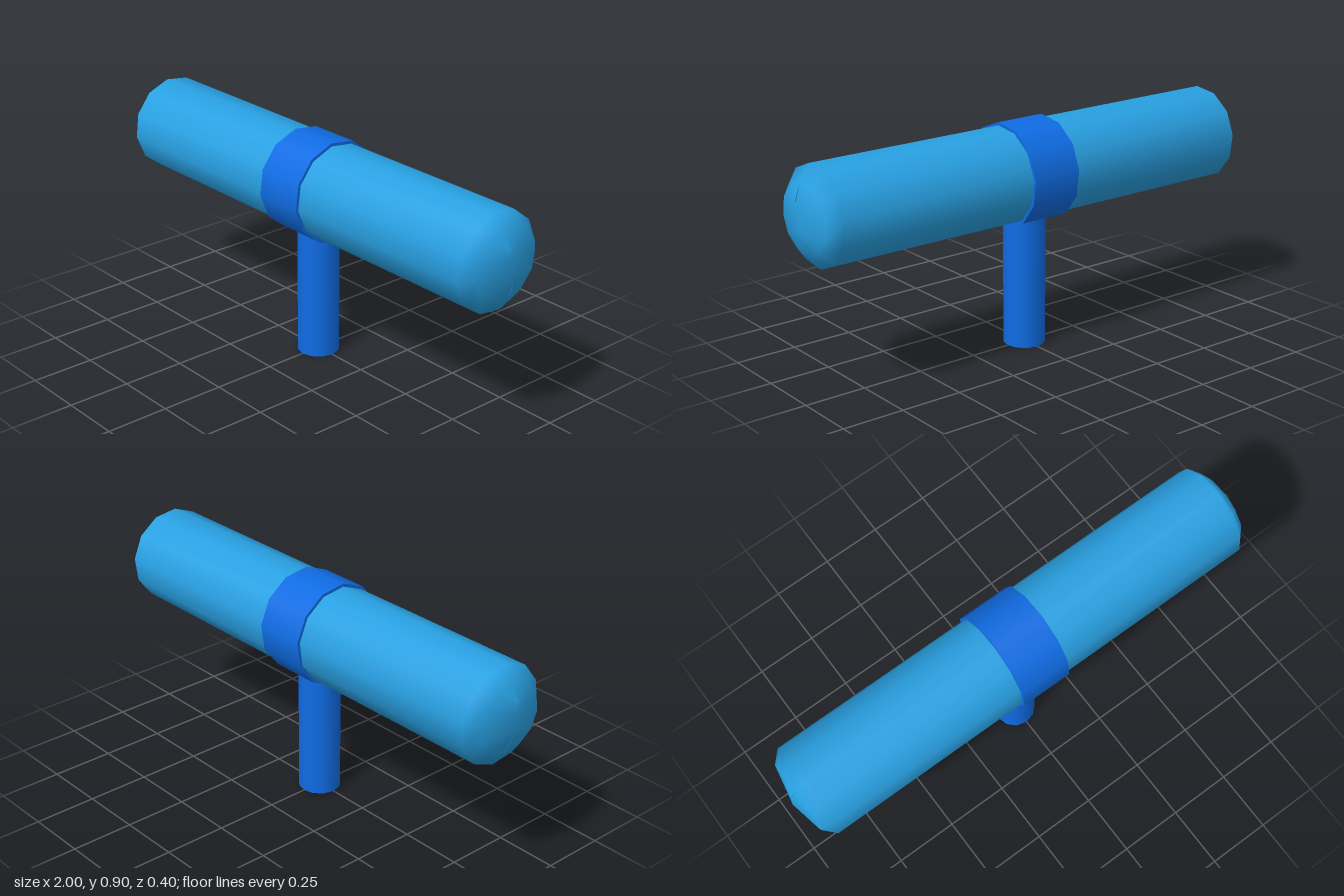
import * as THREE from 'three';
import { mergeVertices } from 'three/addons/utils/BufferGeometryUtils.js';

const SIDES = 12;

// Smooth skin over elliptical rings [x, half height, half depth] set along the x axis
function loft(rings) {
  const pos = [], index = [];
  rings.forEach(([x, ry, rz], i) => {
    for (let j = 0; j < SIDES; j++) {
      const k = (j / SIDES) * Math.PI * 2;
      pos.push(x, ry * Math.cos(k), rz * Math.sin(k));
      if (i === rings.length - 1) continue;
      const n = (j + 1) % SIDES;
      const a = i * SIDES + j, b = i * SIDES + n;
      const c = a + SIDES, d = b + SIDES;
      index.push(a, b, c, b, d, c);
    }
  });
  const geo = new THREE.BufferGeometry();
  geo.setAttribute('position', new THREE.Float32BufferAttribute(pos, 3));
  geo.setIndex(index);
  const merged = mergeVertices(geo);
  merged.computeVertexNormals();
  return merged;
}

export function createModel() {
  const lightBlue = new THREE.MeshStandardMaterial({ color: 0x28a0e2 });
  lightBlue.name = 'lightBlue';
  const deepBlue = new THREE.MeshStandardMaterial({ color: 0x0f6ce4 });
  deepBlue.name = 'deepBlue';

  const model = new THREE.Group();
  const add = (parent, name, geo, mat) => {
    const mesh = new THREE.Mesh(geo, mat);
    mesh.name = name;
    parent.add(mesh);
    return mesh;
  };

  // Barrel and collar share a slight roll about the long axis
  const head = new THREE.Group();
  head.name = 'head';
  head.position.y = 0.698;
  head.rotation.x = THREE.MathUtils.degToRad(7.5);
  model.add(head);

  // Barrel: domed ends that close in a short upright ridge
  const end = [[0.93, 0.191, 0.191], [0.973, 0.132, 0.145], [1, 0.07, 0]];
  const start = end.map(([x, ry, rz]) => [-x, ry, rz]).reverse();
  add(head, 'barrel', loft([...start, ...end]), lightBlue);

  // Collar round the middle
  const collar = new THREE.CylinderGeometry(0.203, 0.203, 0.208, SIDES);
  add(head, 'collar', collar.rotateZ(Math.PI / 2), deepBlue);

  // Handle, running up into the collar
  const handle = add(model, 'handle', new THREE.CylinderGeometry(0.083, 0.083, 0.54, SIDES), deepBlue);
  handle.position.y = 0.27;

  return model;
}
